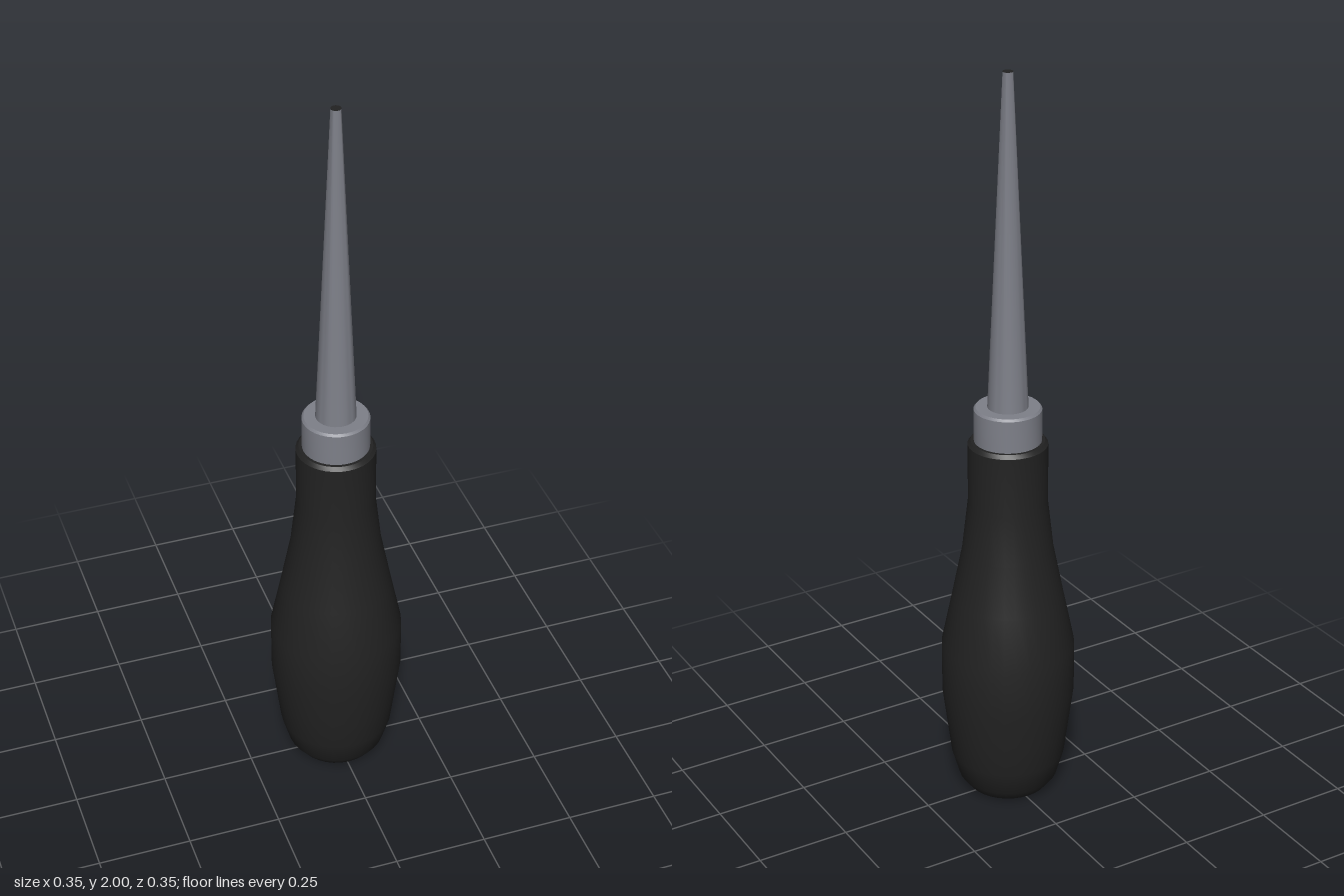
import * as THREE from 'three';
import { toCreasedNormals } from 'three/addons/utils/BufferGeometryUtils.js';

const SIDES = 32;

// Turned part from [radius, height] pairs, listed bottom to top
function turned(name, profile, material) {
  const points = profile.map(([r, y]) => new THREE.Vector2(r, y));
  const geometry = toCreasedNormals(new THREE.LatheGeometry(points, SIDES), 0.6);
  const mesh = new THREE.Mesh(geometry, material);
  mesh.name = name;
  return mesh;
}

export function createModel() {
  const group = new THREE.Group();
  group.name = 'awl';

  const blackGrip = new THREE.MeshStandardMaterial({ color: 0x222222 });
  blackGrip.name = 'black grip';
  const steel = new THREE.MeshStandardMaterial({ color: 0x7e8089 });
  steel.name = 'steel';

  // Swelling handle with a rounded butt and a straight neck
  group.add(turned('handle', [
    [0, 0], [0.085, 0], [0.11, 0.01], [0.133, 0.04], [0.153, 0.11],
    [0.163, 0.19], [0.177, 0.3], [0.177, 0.44], [0.148, 0.58], [0.12, 0.72],
    [0.104, 0.86], [0.104, 1.02], [0.096, 1.03], [0, 1.03],
  ], blackGrip));

  // Collar with a small bevel
  group.add(turned('ferrule', [
    [0.088, 1.025], [0.088, 1.117], [0.083, 1.123], [0, 1.123],
  ], steel));

  // Long tapered spike
  group.add(turned('spike', [[0.053, 1.12], [0.013, 1.999]], steel));

  // Dark blunt end of the spike
  const tip = new THREE.Mesh(new THREE.CylinderGeometry(0.013, 0.013, 0.004, SIDES), blackGrip);
  tip.name = 'spikeTip';
  tip.position.y = 1.998;
  group.add(tip);

  return group;
}
